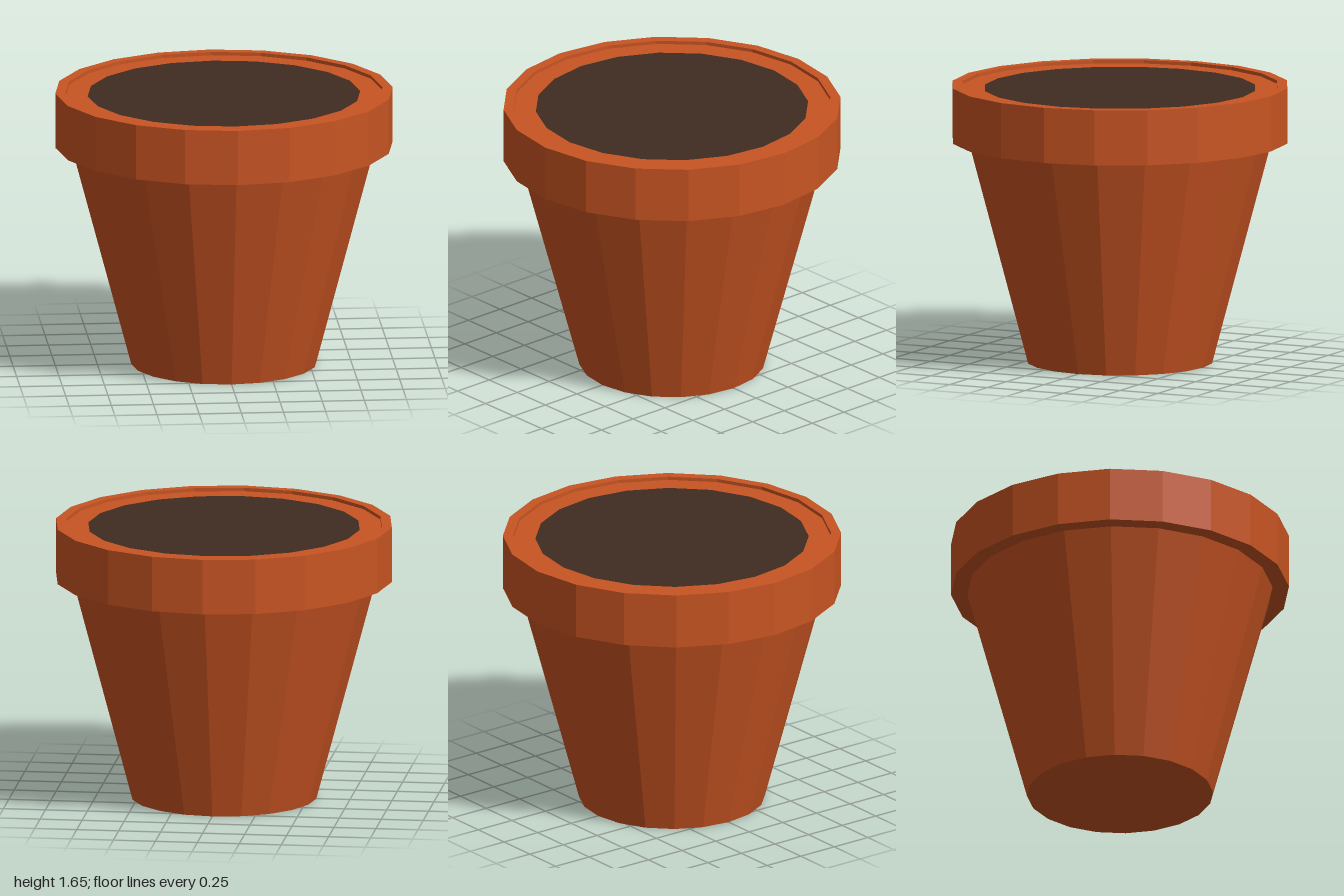
import * as THREE from 'three';

const SIDES = 20;

const terracotta = new THREE.MeshStandardMaterial({ color: 0xc85422 });
terracotta.name = 'terracotta';
const soilBrown = new THREE.MeshStandardMaterial({ color: 0x402c22 });
soilBrown.name = 'soil brown';

// Faceted solid of revolution from [radius, height] pairs
function facetedLathe(name, profile) {
  const points = profile.map(([r, y]) => new THREE.Vector2(r, y));
  const geometry = new THREE.LatheGeometry(points, SIDES).toNonIndexed();
  geometry.computeVertexNormals();
  const mesh = new THREE.Mesh(geometry, terracotta);
  mesh.name = name;
  return mesh;
}

export function createModel() {
  const pot = new THREE.Group();
  pot.name = 'flowerPot';

  // Tapered body with a closed base
  pot.add(facetedLathe('body', [[0, 0], [0.55, 0], [0.903, 1.325]]));

  // Thick collar: underside, outer wall, lip, small step and inner ledge
  pot.add(facetedLathe('rim', [
    [0.903, 1.325], [1, 1.325], [1, 1.655],
    [0.94, 1.655], [0.94, 1.635], [0.808, 1.635],
  ]));

  // Soil filling the pot level with the ledge
  const soil = new THREE.Mesh(
    new THREE.CircleGeometry(0.808, SIDES).rotateX(-Math.PI / 2), soilBrown);
  soil.name = 'soil';
  soil.position.y = 1.635;
  pot.add(soil);

  return pot;
}
